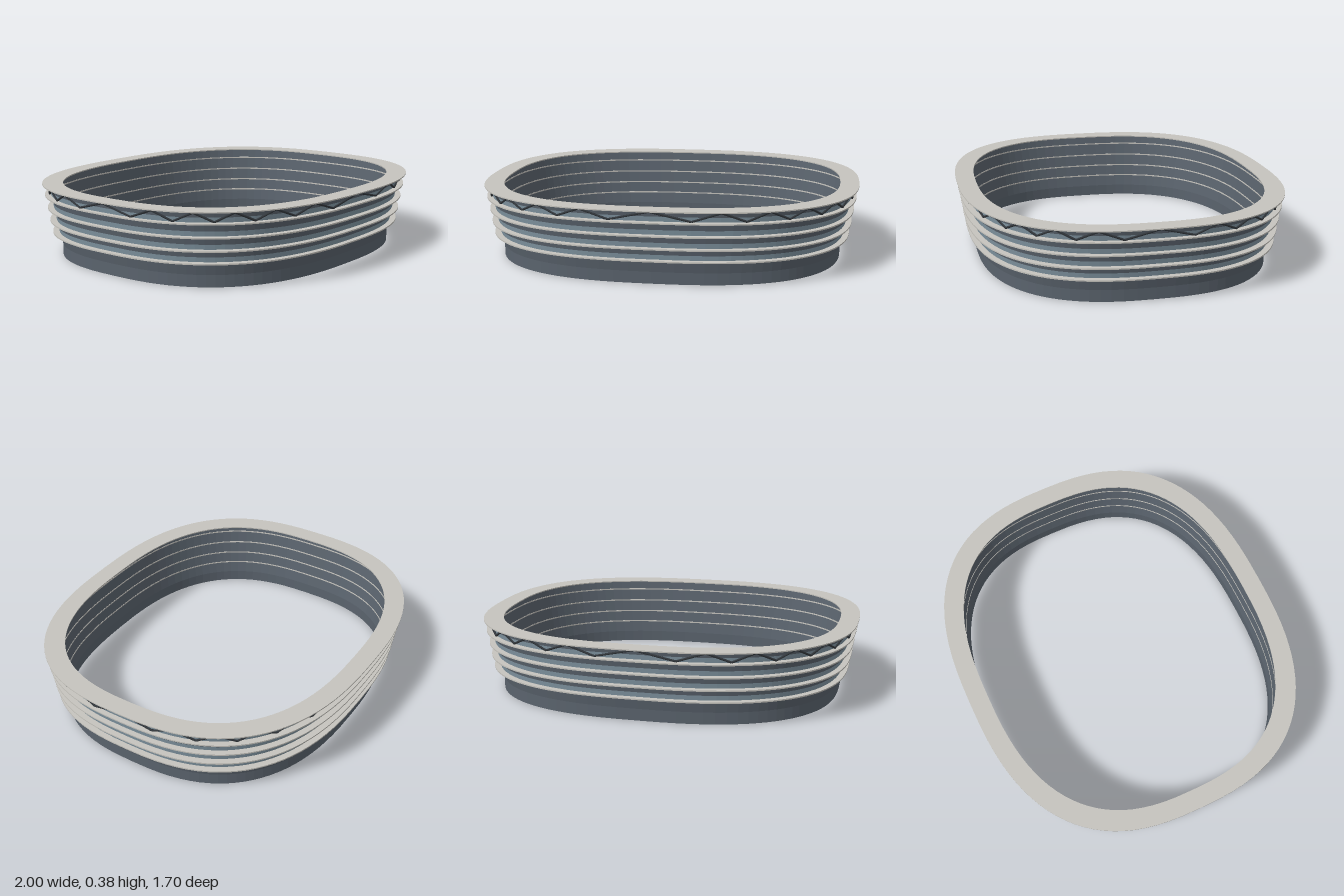
import * as THREE from 'three';
import { mergeGeometries } from 'three/addons/utils/BufferGeometryUtils.js';

const SEGMENTS = 96;
const POWER = 2 / 2.6;

// Point on a rounded-rectangle (superellipse) plan with half sizes a and b
function planPoint(t, a, b, y) {
  const c = Math.cos(t), s = Math.sin(t);
  return new THREE.Vector3(
    a * Math.sign(c) * Math.abs(c) ** POWER, y,
    b * Math.sign(s) * Math.abs(s) ** POWER);
}

// Sweep a profile of [a, b, y] rows round the plan; rising rows face outward
function sweep(profile, closed = false) {
  const positions = [];
  const rows = closed ? [...profile, profile[0]] : profile;
  for (let i = 0; i < SEGMENTS; i++) {
    const t0 = (i / SEGMENTS) * Math.PI * 2;
    const t1 = ((i + 1) / SEGMENTS) * Math.PI * 2;
    for (let j = 0; j < rows.length - 1; j++) {
      const p = planPoint(t0, ...rows[j]), q = planPoint(t0, ...rows[j + 1]);
      const r = planPoint(t1, ...rows[j]), s = planPoint(t1, ...rows[j + 1]);
      for (const v of [p, q, r, r, q, s]) positions.push(v.x, v.y, v.z);
    }
  }
  const geometry = new THREE.BufferGeometry();
  geometry.setAttribute('position', new THREE.Float32BufferAttribute(positions, 3));
  geometry.computeVertexNormals();
  return geometry;
}

// Facade half sizes at height y: upright plinth, then a steady flare
function wallAt(y, offset = 0) {
  const k = Math.max(0, (y - 0.06) / 0.32);
  return [0.908 + 0.06 * k + offset, 0.76 + 0.05 * k + offset, y];
}

// Flat ring slab between inner and outer half sizes
function slab(inner, outer, y, thickness) {
  const [lo, hi] = [y - thickness / 2, y + thickness / 2];
  return sweep([[...inner, lo], [...outer, lo], [...outer, hi], [...inner, hi]], true);
}

// Square bar from p to q
function bar(p, q, radius) {
  const direction = q.clone().sub(p);
  const geometry = new THREE.CylinderGeometry(radius, radius, direction.length(), 6);
  geometry.applyQuaternion(new THREE.Quaternion().setFromUnitVectors(
    new THREE.Vector3(0, 1, 0), direction.normalize()));
  const mid = p.clone().add(q).multiplyScalar(0.5);
  return geometry.translate(mid.x, mid.y, mid.z);
}

export function createModel() {
  const model = new THREE.Group();
  model.name = 'stadiumFacade';

  const material = (name, color, side = THREE.FrontSide) => {
    const m = new THREE.MeshStandardMaterial({ color, side });
    m.name = name;
    return m;
  };
  const wallColor = material('slate wall', 0x5a636d, THREE.DoubleSide);
  const glassColor = material('blue grey glass', 0x8499a6, THREE.DoubleSide);
  const slabColor = material('pale concrete', 0xc6c4be);
  const steelColor = material('dark steel', 0x33383d);

  const add = (name, geometry, mat) => {
    const mesh = new THREE.Mesh(geometry, mat);
    mesh.name = name;
    model.add(mesh);
  };

  // Outer wall
  add('wall', sweep([wallAt(0), wallAt(0.06), wallAt(0.378)]), wallColor);

  // Floor ledges with a window strip above each
  [[0.123, 0.955, 0.805], [0.186, 0.967, 0.816], [0.252, 0.976, 0.826], [0.32, 0.988, 0.838]]
    .forEach(([y, a, b], i) => {
      const [wa, wb] = wallAt(y);
      add(`ledge${i + 1}`, slab([wa - 0.001, wb - 0.001], [a, b], y, 0.007), slabColor);
      add(`windowStrip${i + 1}`,
        sweep([wallAt(y, 0.004), wallAt(y + 0.028, 0.004)]), glassColor);
    });

  // Roof ring
  add('roofRing', slab([0.9, 0.75], [1, 0.85], 0.379, 0.006), slabColor);

  // Zigzag truss under the roof ring
  const nodes = 48;
  const bars = [];
  const node = (i) => {
    const top = i % 2 === 0;
    return planPoint((i / nodes) * Math.PI * 2, ...wallAt(top ? 0.373 : 0.327, 0.01));
  };
  for (let i = 0; i < nodes; i++) bars.push(bar(node(i), node(i + 1), 0.0055));
  add('zigzagTruss', mergeGeometries(bars), steelColor);

  return model;
}
